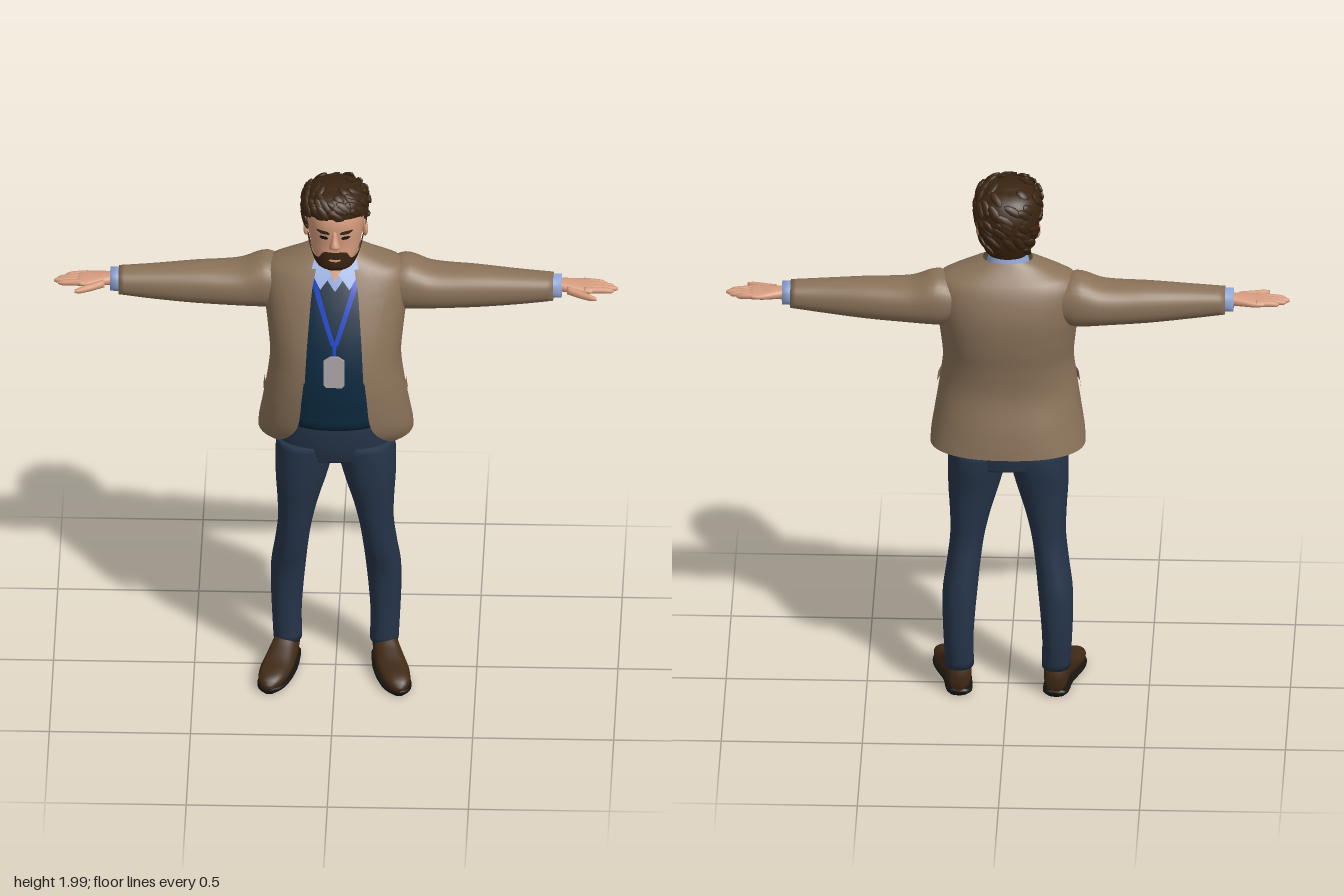
import * as THREE from 'three';
import { mergeVertices, mergeGeometries } from 'three/addons/utils/BufferGeometryUtils.js';

const mat = (name, color, both) => {
  const m = new THREE.MeshStandardMaterial({ color });
  m.name = name;
  if (both) m.side = THREE.DoubleSide;
  return m;
};

// Smoothly interpolates a table of rows keyed by their first column
function at(rows, t) {
  const n = rows.length - 1;
  t = Math.min(Math.max(t, rows[0][0]), rows[n][0]);
  let i = 0;
  while (i < n - 1 && t > rows[i + 1][0]) i++;
  const slope = (k, c) => {
    const a = rows[Math.max(k - 1, 0)], b = rows[Math.min(k + 1, n)];
    return (b[c] - a[c]) / (b[0] - a[0]);
  };
  const p = rows[i], q = rows[i + 1], h = q[0] - p[0], s = (t - p[0]) / h;
  return p.map((_, c) => c === 0 ? t :
    p[c] * (1 + 2 * s) * (1 - s) ** 2 + q[c] * s * s * (3 - 2 * s) +
    h * s * (1 - s) * (slope(i, c) * (1 - s) - slope(i + 1, c) * s));
}

// Row: [t, aMin, aMax, bMin, bMax]; superellipse point at angle th
const POW = 2.3;
const AXES = { y: (t, a, b) => [a, t, b], x: (t, a, b) => [t, b, a], z: (t, a, b) => [b, a, t] };
function ring(r, th, k = 1) {
  const e = 2 / POW, s = Math.sin(th), c = Math.cos(th);
  return [(r[1] + r[2]) / 2 + k * (r[2] - r[1]) / 2 * Math.sign(s) * Math.abs(s) ** e,
    (r[3] + r[4]) / 2 + k * (r[4] - r[3]) / 2 * Math.sign(c) * Math.abs(c) ** e];
}
const grow = (rows, d) => rows.map(([t, a, b, c, e, ...x]) => [t, a - d, b + d, c - d, e + d, ...x]);
const sym = rows => rows.map(([y, w, ...r]) => [y, -w, w, ...r]);

function gridGeometry(pos, nu, nv) {
  const idx = [];
  for (let j = 0; j < nv; j++) for (let i = 0; i < nu; i++) {
    const a = j * (nu + 1) + i, b = a + nu + 1;
    idx.push(a, a + 1, b, a + 1, b + 1, b);
  }
  let g = new THREE.BufferGeometry();
  g.setAttribute('position', new THREE.Float32BufferAttribute(pos, 3));
  g.setIndex(idx);
  g = mergeVertices(g, 1e-5);
  g.computeVertexNormals();
  return g;
}

// Skin over cross-sections, closed or limited to an angle range
function loft(rows, { axis = 'y', lo, hi, th = () => [0, Math.PI * 2], nu = 32, nv = 28, cap = true } = {}) {
  const pos = [], t0 = rows[0][0], t1 = rows.at(-1)[0];
  for (let j = cap ? -1 : 0; j <= (cap ? nv + 1 : nv); j++) for (let i = 0; i <= nu; i++) {
    const u = i / nu, v = Math.min(Math.max(j / nv, 0), 1);
    const t = THREE.MathUtils.lerp(lo ? lo(u) : t0, hi ? hi(u) : t1, v), r = at(rows, t), [p, q] = th(r);
    pos.push(...AXES[axis](t, ...ring(r, p + (q - p) * u, j < 0 || j > nv ? 0 : 1)));
  }
  return gridGeometry(pos, nu, cap ? nv + 2 : nv);
}

// Thin plate lying on the front of a lofted body; edges: [y, xLeft, xRight]
function patch(rows, edges, off, nv = 14) {
  const pos = [], y0 = edges[0][0], y1 = edges.at(-1)[0], nu = 6;
  for (let j = 0; j <= nv; j++) {
    const y = y0 + (y1 - y0) * j / nv, r = at(rows, y);
    let k = 0;
    while (k < edges.length - 2 && y > edges[k + 1][0]) k++;
    const [p, q] = [edges[k], edges[k + 1]], s = (y - p[0]) / (q[0] - p[0]);
    for (let i = 0; i <= nu; i++) {
      const a = p[1] + (q[1] - p[1]) * s, b = p[2] + (q[2] - p[2]) * s, x = a + (b - a) * i / nu;
      const f = Math.max(0, 1 - Math.abs(x / r[2]) ** POW) ** (1 / POW);
      pos.push(x, y, (r[3] + r[4]) / 2 + (r[4] - r[3]) / 2 * f + off);
    }
  }
  return gridGeometry(pos, nu, nv);
}

function mirror(g) {
  const m = g.clone().scale(-1, 1, 1), ix = m.index.array;
  for (let i = 0; i < ix.length; i += 3) [ix[i], ix[i + 1]] = [ix[i + 1], ix[i]];
  m.computeVertexNormals();
  return m;
}

export function createModel() {
  const root = new THREE.Group();
  root.name = 'man';
  const skin = mat('skin', 0xd69c7e), hair = mat('hair', 0x3a2411, true), tan = mat('jacket tan', 0x8a7259, true);
  const navy = mat('sweater navy', 0x0c2a40, true), shirt = mat('shirt blue', 0x91a9da, true);
  const denim = mat('trouser blue', 0x26354a), brown = mat('shoe brown', 0x402a16), black = mat('sole black', 0x17140f);
  const blue = mat('lanyard blue', 0x1040c4, true), grey = mat('badge grey', 0xaaa3a6);
  const add = (name, g, m) => { const o = new THREE.Mesh(g, m); o.name = name; root.add(o); };
  const pair = (name, g, m) => { add(name + 'Left', g, m); add(name + 'Right', mirror(g), m); };

  // Jacket: last column is the half width of the front opening
  const coat = sym([[.98, .275, -.21, .15, .2], [1.02, .272, -.205, .185, .165], [1.08, .262, -.195, .205, .13],
    [1.2, .243, -.17, .213, .115], [1.3, .232, -.175, .205, .105], [1.4, .24, -.19, .18, .1],
    [1.5, .252, -.195, .142, .095], [1.58, .258, -.18, .105, .085], [1.635, .24, -.155, .075, .075],
    [1.67, .165, -.125, .055, .068], [1.705, .088, -.1, .025, .065]]);
  add('jacket', loft(coat, { cap: false, nu: 64, nv: 44, th: r => {
    const o = Math.asin(Math.min(1, (r[5] / r[2]) ** (POW / 2)));
    return [o, Math.PI * 2 - o];
  } }), tan);
  pair('lapel', patch(coat, [[1.27, .104, .11], [1.4, .097, .135], [1.56, .085, .178], [1.575, .083, .14],
    [1.6, .08, .155], [1.66, .068, .115]], .009, 26), tan);
  pair('pocketFlap', loft(grow(coat, .008), { cap: false, nu: 12, nv: 4, lo: () => 1.165, hi: () => 1.205,
    th: () => [.72, 1.55] }), tan);
  add('breastPocket', patch(coat, [[1.475, .13, .195], [1.497, .13, .2]], .006, 3), tan);

  // Sleeves, cuffs and hands
  pair('sleeve', loft([[.18, -.14, .03, 1.48, 1.62], [.235, -.152, .045, 1.455, 1.648], [.27, -.153, .046, 1.455, 1.645],
    [.34, -.146, .045, 1.46, 1.618], [.5, -.126, .036, 1.468, 1.61], [.65, -.105, .026, 1.482, 1.6],
    [.77, -.093, .018, 1.497, 1.592]], { axis: 'x' }), tan);
  pair('shirtCuff', loft([[.74, -.08, .005, 1.505, 1.588], [.8, -.082, .006, 1.508, 1.588]], { axis: 'x', nv: 2 }), shirt);
  pair('palm', loft([[.78, -.066, -.012, 1.53, 1.572], [.83, -.076, -.002, 1.53, 1.568], [.87, -.084, .006, 1.531, 1.563],
    [.905, -.083, .008, 1.534, 1.56], [.915, -.076, 0, 1.54, 1.556]], { axis: 'x' }), skin);
  [.962, .987, 1, .985].forEach((tip, i) => {
    const z = -.07 + .0215 * i, c = z + .004 * (1.5 - i), w = .0115;
    pair('finger' + (i + 1), loft([[.88, z - w, z + w, 1.536, 1.56], [.94, c - w, c + w, 1.535, 1.557],
      [tip - .01, c - .009, c + .009, 1.535, 1.552], [tip, c - .003, c + .003, 1.54, 1.546]], { axis: 'x', nu: 12, nv: 12 }), skin);
  });
  pair('thumb', loft([[.82, -.02, .008, 1.533, 1.562], [.865, .0, .03, 1.53, 1.556], [.905, .024, .046, 1.53, 1.551],
    [.925, .036, .049, 1.535, 1.546]], { axis: 'x', nu: 12, nv: 12 }), skin);

  // Sweater, shirt front and collar
  const knit = sym([[1.055, .2, -.15, .165], [1.075, .205, -.15, .18], [1.1, .21, -.15, .18], [1.2, .21, -.15, .187],
    [1.3, .2, -.15, .182], [1.4, .2, -.15, .16], [1.5, .2, -.15, .125], [1.58, .17, -.14, .09],
    [1.64, .1, -.1, .06], [1.67, .06, -.08, .045]]);
  add('sweater', loft(knit), navy);
  add('shirtFront', patch(knit, [[1.585, -.002, .002], [1.66, -.058, .058]], .004), shirt);
  add('openNeck', patch(knit, [[1.618, -.002, .002], [1.665, -.028, .028]], .008), skin);
  const collar = loft(sym([[1.655, .078, -.092, .062], [1.7, .07, -.084, .056]]), { cap: false, nv: 4, th: () => [.35, 5.93] });
  const cp = collar.attributes.position;
  for (let i = 0; i < cp.count; i++) cp.setY(i, cp.getY(i) - cp.getZ(i) * .32);
  collar.computeVertexNormals();
  add('shirtCollar', collar, shirt);
  const leaf = new THREE.BufferGeometry();
  leaf.setAttribute('position', new THREE.Float32BufferAttribute(
    [.012, 1.645, .078, .052, 1.598, .105, .086, 1.65, .066, .07, 1.698, .024], 3));
  leaf.setIndex([0, 1, 2, 0, 2, 3]);
  leaf.computeVertexNormals();
  pair('collarLeaf', leaf, shirt);

  // Lanyard and badge
  pair('lanyard', patch(knit, [[1.405, -.004, .013], [1.6, .06, .08], [1.63, .064, .084]], .009, 18), blue);
  add('lanyardClip', patch(knit, [[1.36, -.005, .005], [1.415, -.008, .008]], .01, 4), blue);
  const card = new THREE.Shape([[-.037, -.05], [-.028, -.06], [.028, -.06], [.037, -.05], [.037, .045], [.015, .06],
    [-.015, .06], [-.037, .045]].map(p => new THREE.Vector2(...p)));
  add('badge', new THREE.ExtrudeGeometry(card, { depth: .009, bevelEnabled: false }).rotateX(-.08).translate(0, 1.31, .186), grey);

  // Trousers
  add('hips', loft(sym([[.9, .2, -.14, .125], [.95, .21, -.148, .137], [1.02, .207, -.148, .145], [1.08, .195, -.14, .145]])), denim);
  pair('trouserLeg', loft([[.1, .12, .222, -.11, .03], [.2, .122, .227, -.125, .032], [.3, .116, .231, -.131, .036],
    [.4, .107, .23, -.13, .047], [.5, .097, .216, -.12, .075], [.6, .083, .205, -.11, .095], [.7, .06, .207, -.115, .11],
    [.8, .03, .213, -.125, .125], [.9, .004, .213, -.142, .133], [.96, -.01, .208, -.145, .134]], { nv: 36 }), denim);

  // Shoes, toes turned slightly outward
  const shoe = [[-.105, .02, .1, .145, .2], [-.085, .012, .125, .13, .212], [0, .012, .13, .132, .226],
    [.05, .012, .105, .138, .244], [.11, .012, .08, .152, .264], [.17, .012, .066, .174, .269],
    [.2, .012, .053, .194, .26], [.215, .016, .036, .215, .245]];
  pair('shoe', loft(shoe, { axis: 'z' }), brown);
  pair('sole', loft(shoe.map(([z, , , a, b]) => [z, 0, .024, a - .004, b + .004]), { axis: 'z' }), black);

  // Head, neck, ears and nose
  const head = sym([[1.68, .035, 0, .1], [1.693, .06, -.03, .118], [1.73, .08, -.08, .122], [1.78, .093, -.11, .12],
    [1.83, .099, -.12, .124], [1.88, .1, -.12, .122], [1.93, .085, -.1, .1], [1.96, .04, -.05, .06]]);
  add('neck', loft(sym([[1.58, .075, -.09, .04], [1.65, .06, -.08, .043], [1.75, .06, -.09, .04]])), skin);
  add('head', loft(head), skin);
  add('nose', loft(sym([[1.776, .013, .1, .128], [1.785, .02, .1, .146], [1.796, .016, .1, .149], [1.82, .011, .1, .137],
    [1.845, .008, .1, .126]]), { nu: 16, nv: 14 }), skin);
  pair('ear', new THREE.SphereGeometry(1, 14, 10).scale(.011, .032, .02).rotateX(-.15).rotateY(.3).translate(.103, 1.795, -.005), skin);
  pair('eye', patch(head, [[1.815, .028, .046], [1.821, .022, .056], [1.828, .03, .05]], .003, 4), black);
  pair('brow', patch(head, [[1.838, .018, .05], [1.848, .02, .066], [1.852, .04, .06]], .006, 4), hair);

  // Beard with moustache
  const side = u => Math.abs(u - .5) * 2;
  add('beard', loft(grow(head, .007), { cap: false, nu: 48, nv: 10, th: () => [-1.72, 1.72],
    lo: u => at([[0, 1.68], [.6, 1.684], [1, 1.745]], side(u))[1],
    hi: u => at([[0, 1.764], [.22, 1.762], [.38, 1.736], [.65, 1.745], [.88, 1.79], [1, 1.835]], side(u))[1] }), hair);
  add('mouth', patch(head, [[1.728, -.01, .01], [1.733, -.022, .022], [1.738, -.018, .018]], .0095, 4), skin);

  // Hair cap and swept locks
  const mop = sym([[1.72, .078, -.112, .06], [1.78, .1, -.136, .1], [1.84, .112, -.144, .122], [1.89, .117, -.142, .13],
    [1.93, .11, -.126, .127], [1.957, .087, -.1, .1], [1.972, .055, -.065, .065], [1.977, .02, -.03, .03]]);
  const line = u => at([[0, 1.9], [.25, 1.895], [.36, 1.875], [.42, 1.82], [.47, 1.815], [.56, 1.805], [.64, 1.745], [1, 1.728]], side(u + .5 > 1 ? u - .5 : u + .5))[1];
  add('hair', loft(mop, { nu: 64, nv: 24, lo: line, cap: false }), hair);
  add('crown', new THREE.SphereGeometry(1, 20, 12).scale(.075, .03, .075).translate(0, 1.952, 0), hair);
  let seed = 11;
  const rnd = () => (seed = (seed * 16807) % 2147483647) / 2147483647;
  const locks = [], d = new THREE.Object3D(), point = (y, th) => {
    const [x, z] = ring(at(mop, y), th);
    return new THREE.Vector3(x, y, z);
  };
  for (let i = 0; i < 90; i++) {
    const u = rnd(), th = u * Math.PI * 2, y = THREE.MathUtils.lerp(line(u) + .015, 1.972, rnd());
    const p = point(y, th), q = point(y - .02, th + .12 + .15 * rnd());
    d.position.copy(p);
    d.up.set(p.x, (y - 1.86) * 1.2, p.z).normalize();
    d.lookAt(q);
    d.scale.set(.013 + .006 * rnd(), .009, .026 + .014 * rnd());
    d.updateMatrix();
    locks.push(new THREE.SphereGeometry(1, 8, 6).applyMatrix4(d.matrix));
  }
  add('hairLocks', mergeGeometries(locks), hair);
  return root;
}
